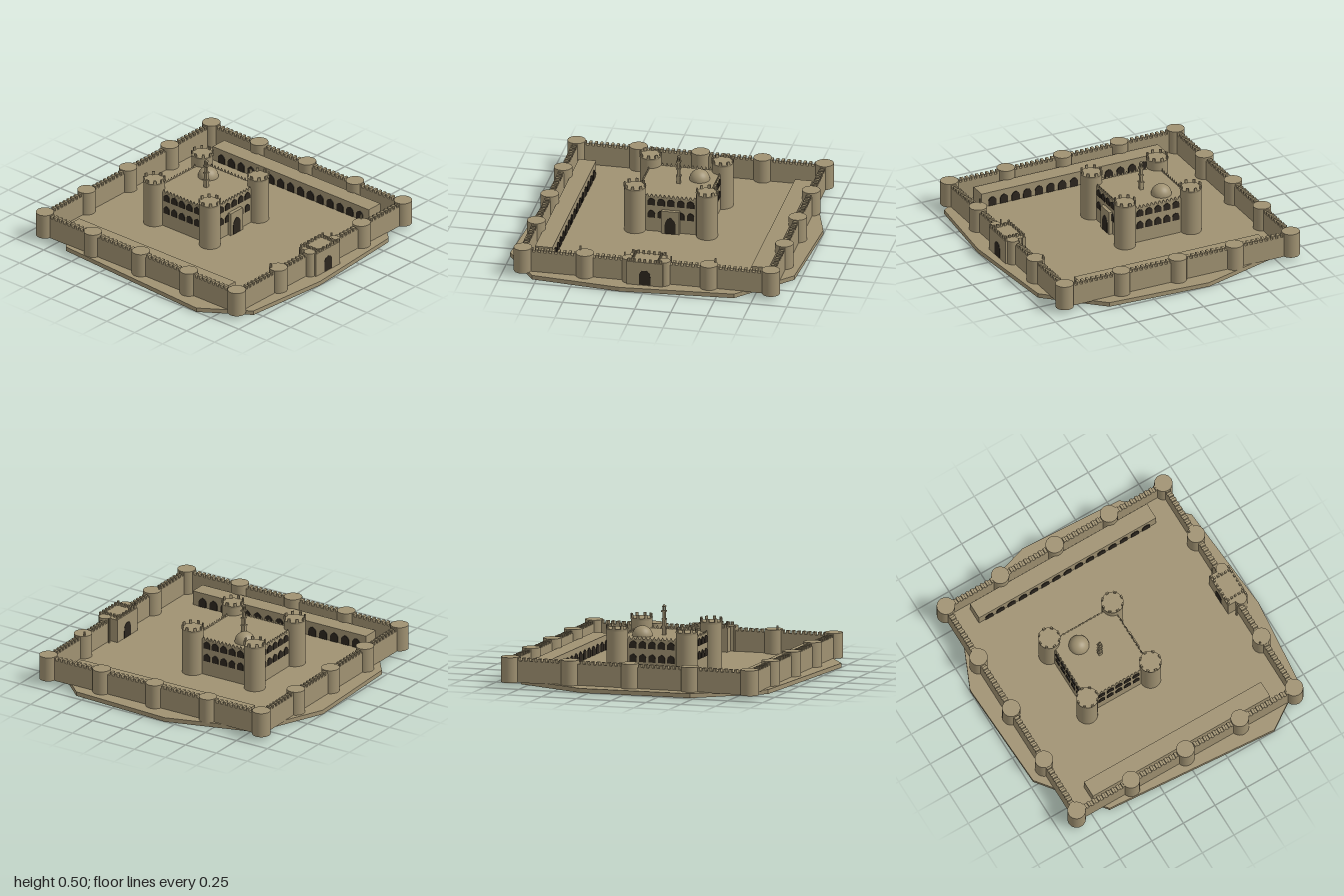
import * as THREE from 'three';
import { mergeGeometries } from 'three/addons/utils/BufferGeometryUtils.js';

const stone = new THREE.MeshStandardMaterial({ color: 0xa09272 });
const thinStone = new THREE.MeshStandardMaterial({ color: 0xa09272, side: THREE.DoubleSide });
const dark = new THREE.MeshStandardMaterial({ color: 0x2c261e });
const FLOOR = 0.034;
const FOOT = 0.026; // footings reach just below the ground surface

function add(parent, name, geo, mat = stone) {
  const mesh = new THREE.Mesh(geo, mat);
  mesh.name = name;
  parent.add(mesh);
  return mesh;
}

function group(parent, name) {
  const g = new THREE.Group();
  g.name = name;
  parent.add(g);
  return g;
}

// Box given by its centre in plan, its size and its bottom and top heights
const box = (x, z, w, d, y0, y1) =>
  new THREE.BoxGeometry(w, y1 - y0, d).translate(x, (y0 + y1) / 2, z);

const drum = (x, z, r, y0, y1, sides = 32, rTop = r) =>
  new THREE.CylinderGeometry(rTop, r, y1 - y0, sides).translate(x, (y0 + y1) / 2, z);

// Arch standing on y = 0, facing +z; a fuller crown is rounder
function archPanel(w, h, crown = 0.86) {
  const s = new THREE.Shape();
  const spring = h * 0.5;
  s.moveTo(-w / 2, 0);
  s.lineTo(w / 2, 0);
  s.lineTo(w / 2, spring);
  s.quadraticCurveTo(w / 2, h * crown, 0, h);
  s.quadraticCurveTo(-w / 2, h * crown, -w / 2, spring);
  return new THREE.ExtrudeGeometry(s, { depth: 0.005, bevelEnabled: false, curveSegments: 6 });
}

// Evenly spaced copies of a piece along a line
function row(count, from, to, make) {
  const parts = [];
  for (let i = 0; i < count; i++) parts.push(make(from + ((to - from) * i) / (count - 1)));
  return mergeGeometries(parts);
}

// Thin ground skin: top face, rim open below, and the square courtyard floor
function buildGround(root) {
  const outline = [[-0.47, -0.97], [0.31, -1], [0.81, -0.78], [1, -0.17], [0.96, 0.57],
    [0.62, 0.94], [-0.16, 1], [-0.78, 0.94], [-1, 0.62], [-0.91, -0.63]];
  const shape = new THREE.Shape(outline.map(([x, z]) => new THREE.Vector2(x, -z)));
  const top = new THREE.ShapeGeometry(shape).rotateX(-Math.PI / 2).translate(0, 0.03, 0);
  add(root, 'groundTop', top, thinStone);

  const corners = [];
  outline.forEach(([ax, az], i) => {
    const [bx, bz] = outline[(i + 1) % outline.length];
    corners.push(bx, 0, bz, ax, 0, az, ax, 0.03, az, bx, 0, bz, ax, 0.03, az, bx, 0.03, bz);
  });
  const rim = new THREE.BufferGeometry();
  rim.setAttribute('position', new THREE.Float32BufferAttribute(corners, 3));
  rim.computeVertexNormals();
  add(root, 'groundRim', rim, thinStone);

  const floor = new THREE.PlaneGeometry(1.72, 1.72).rotateX(-Math.PI / 2).translate(0, FLOOR, 0);
  add(root, 'courtyardFloor', floor, thinStone);
}

function buildOuterWalls(root) {
  const walls = group(root, 'outerWalls');
  for (let side = 0; side < 4; side++) {
    const wall = group(walls, ['frontWall', 'leftWall', 'backWall', 'rightWall'][side]);
    wall.rotation.y = (side * Math.PI) / 2;
    add(wall, 'curtainWall', box(0, 0.86, 1.72, 0.036, FOOT, 0.175));
    add(wall, 'wallMerlons', row(43, -0.8, 0.8, (x) => box(x, 0.86, 0.019, 0.036, 0.174, 0.195)));
    // one corner tower and the intermediate towers; the gate takes the middle of the front
    add(wall, 'cornerTower', drum(0.86, 0.86, 0.062, FOOT, 0.2));
    for (const x of [-0.43, 0, 0.43]) {
      if (side === 0 && x === 0) continue;
      add(wall, 'wallTower', drum(x, 0.86, 0.062, FOOT, 0.2));
    }
  }
  // slender posts on the front wall
  for (const s of [-1, 1]) {
    add(walls, 'wallPost', box(s * 0.468, 0.825, 0.01, 0.01, FOOT, 0.23));
    add(walls, 'gatePost', box(s * 0.16, 0.825, 0.008, 0.008, FOOT, 0.215));
  }
}

function buildGate(root) {
  const gate = group(root, 'gatehouse');
  add(gate, 'gateBlock', box(0, 0.857, 0.25, 0.154, FOOT, 0.2));
  for (const s of [-1, 1]) {
    add(gate, 'gateTurret', drum(s * 0.125, 0.88, 0.041, FOOT, 0.205, 24));
    add(gate, 'gateSideMerlons', row(5, 0.8, 0.915,
      (z) => box(s * 0.09, z, 0.012, 0.014, 0.199, 0.222)));
  }
  for (const z of [0.79, 0.926]) {
    add(gate, 'gateMerlons', row(7, -0.11, 0.11, (x) => box(x, z, 0.016, 0.012, 0.199, 0.222)));
  }
  // dark doorway on the outer and inner faces
  add(gate, 'outerDoorway', archPanel(0.08, 0.106, 1).translate(0, FLOOR, 0.931), dark);
  add(gate, 'innerDoorway', archPanel(0.08, 0.106, 1).rotateY(Math.PI).translate(0, FLOOR, 0.783), dark);
}

function buildArcades(root) {
  for (const s of [-1, 1]) {
    const arcade = group(root, s > 0 ? 'leftArcade' : 'rightArcade');
    add(arcade, 'arcadeBlock', box(s * 0.75, 0, 0.12, 1.4, FOOT, 0.135));
    add(arcade, 'arcadeArches', row(15, -0.62, 0.62, (z) =>
      archPanel(0.06, 0.066).rotateY(-s * Math.PI / 2).translate(s * 0.69, FLOOR, z)), dark);
  }
}

function buildKeep(root) {
  const keep = group(root, 'keep');
  keep.position.z = -0.16;
  add(keep, 'keepBody', box(0, 0, 0.5, 0.5, FOOT, 0.29));
  for (let side = 0; side < 4; side++) {
    const face = group(keep, 'keepFace');
    face.rotation.y = (side * Math.PI) / 2;
    add(face, 'upperArches', row(5, -0.136, 0.136,
      (x) => archPanel(0.052, 0.052).translate(x, 0.228, 0.25)), dark);
    add(face, 'lowerArches', row(5, -0.136, 0.136,
      (x) => archPanel(0.05, 0.055).translate(x, 0.135, 0.25)), dark);
    add(face, 'keepMerlons', row(12, -0.165, 0.165, (x) =>
      new THREE.ConeGeometry(0.014, 0.024, 4).rotateY(Math.PI / 4).toNonIndexed()
        .scale(1, 1, 0.4).translate(x, 0.301, 0.246)));

    // corner tower with flared crown and battlements
    const tower = group(face, 'keepTower');
    tower.position.set(0.25, 0, 0.25);
    add(tower, 'towerShaft', drum(0, 0, 0.073, FOOT, 0.348));
    add(tower, 'towerCrown', drum(0, 0, 0.074, 0.346, 0.36, 32, 0.077));
    const merlons = [];
    for (let i = 0; i < 8; i++) {
      merlons.push(box(0, 0.071, 0.019, 0.01, 0.359, 0.384).rotateY((i * Math.PI) / 4));
    }
    add(tower, 'towerMerlons', mergeGeometries(merlons));
  }
  // portal on the front
  add(keep, 'portalFrame', box(0, 0.26, 0.125, 0.03, FOOT, 0.2));
  add(keep, 'portalDoor', archPanel(0.076, 0.12).translate(0, FLOOR, 0.272), dark);

  // dome on the roof
  const dome = new THREE.SphereGeometry(0.07, 32, 12, 0, Math.PI * 2, 0, Math.PI / 2);
  add(keep, 'dome', dome.translate(0.125, 0.29, -0.09));

  // slender square roof turret: stacked [width, bottom, top] stages
  const turret = group(keep, 'roofTurret');
  const stages = [[0.026, 0.289, 0.34], [0.034, 0.338, 0.348], [0.022, 0.346, 0.396],
    [0.03, 0.394, 0.402], [0.018, 0.4, 0.45], [0.032, 0.447, 0.457], [0.022, 0.48, 0.488]];
  for (const [w, y0, y1] of stages) add(turret, 'turretStage', box(0, 0, w, w, y0, y1));
  for (const x of [-0.007, 0.007]) {
    for (const z of [-0.007, 0.007]) add(turret, 'lanternPost', box(x, z, 0.006, 0.006, 0.456, 0.481));
  }
  add(turret, 'lanternRoof', drum(0, 0, 0.011, 0.487, 0.5, 8, 0.002));
}

export function createModel() {
  const root = new THREE.Group();
  root.name = 'walledFort';
  buildGround(root);
  buildOuterWalls(root);
  buildGate(root);
  buildArcades(root);
  buildKeep(root);
  return root;
}
